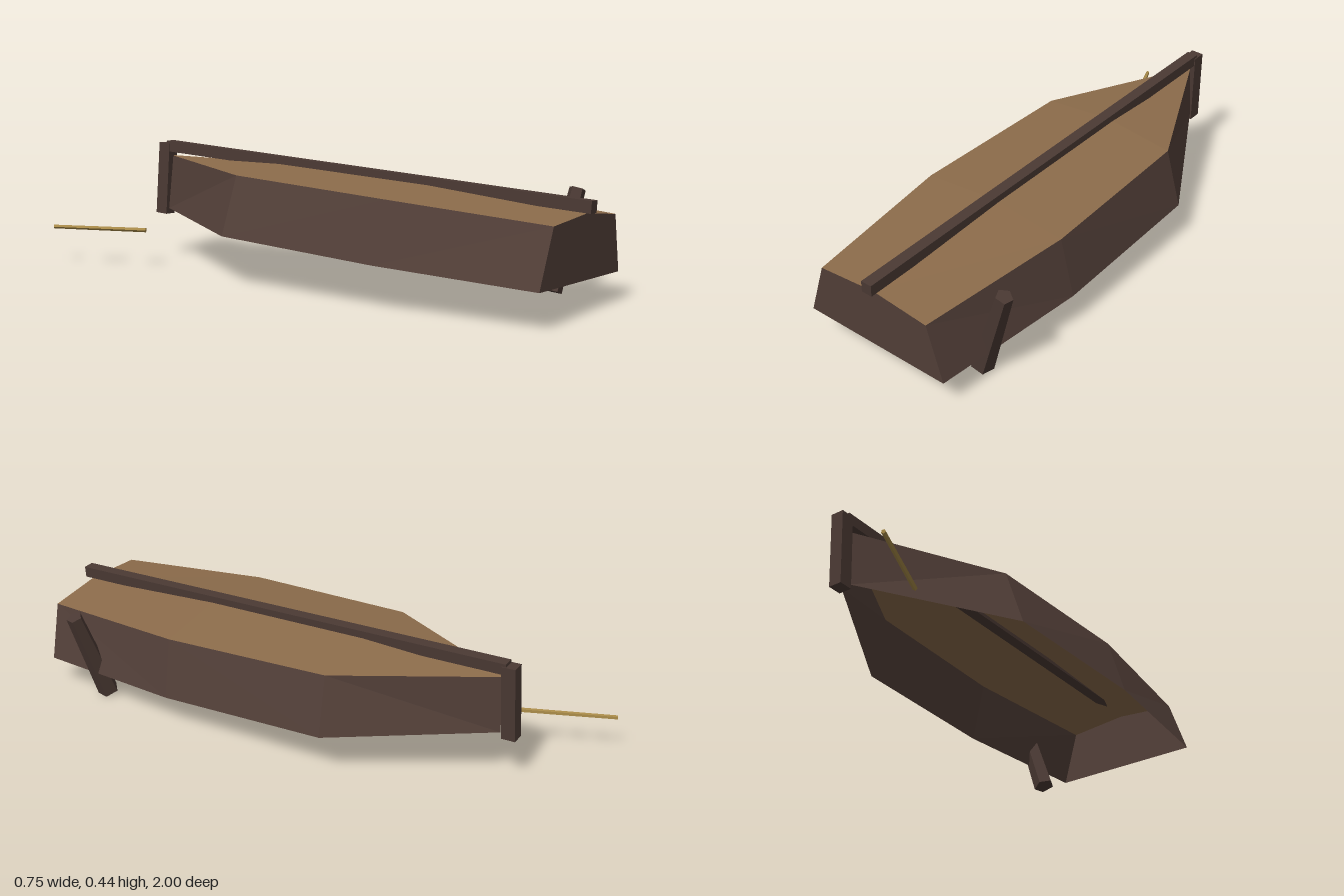
import * as THREE from 'three';

const V = (x, y, z) => new THREE.Vector3(x, y, z);

// Flat-shaded mesh from a list of triangle corners
function facets(name, corners, material) {
  const geometry = new THREE.BufferGeometry().setFromPoints(corners);
  geometry.computeVertexNormals();
  const mesh = new THREE.Mesh(geometry, material);
  mesh.name = name;
  return mesh;
}

// Place a y-aligned geometry so its axis runs from one point to another
function along(name, geometry, from, to, material) {
  const mesh = new THREE.Mesh(geometry, material);
  mesh.name = name;
  mesh.position.copy(from).add(to).multiplyScalar(0.5);
  mesh.quaternion.setFromUnitVectors(V(0, 1, 0), to.clone().sub(from).normalize());
  return mesh;
}

export function createModel() {
  const flat = (name, color) => {
    const m = new THREE.MeshStandardMaterial({ color, flatShading: true });
    m.name = name;
    return m;
  };
  const sideWood = flat('hull side wood', 0x523f38);
  const bottomWood = flat('hull bottom wood', 0x8b6b4a);
  const beamWood = flat('dark beam wood', 0x4a3933);
  const straw = flat('pale stick wood', 0xa88a48);
  sideWood.side = bottomWood.side = THREE.DoubleSide;

  const model = new THREE.Group();
  model.name = 'upturnedBoat';

  // Hull stations, stern to bow: right rim, right chine, crest, left chine, left rim
  const stations = [
    [V(0.265, 0.103, 0.967), V(0.213, 0.302, 0.974), V(0, 0.332, 0.974), V(-0.22, 0.323, 0.974), V(-0.29, 0.131, 0.967)],
    [V(0.32, 0.124, 0.4), V(0.277, 0.332, 0.407), V(0, 0.375, 0.407), V(-0.28, 0.36, 0.407), V(-0.345, 0.156, 0.4)],
    [V(0.306, 0.15, -0.226), V(0.257, 0.358, -0.218), V(0, 0.398, -0.218), V(-0.258, 0.383, -0.218), V(-0.33, 0.18, -0.226)],
    [V(0.008, 0.186, -0.74), V(0.005, 0.386, -0.732), V(0.001, 0.388, -0.732), V(-0.004, 0.387, -0.732), V(-0.024, 0.188, -0.74)],
  ];
  const strip = (j) => {
    const out = [];
    for (let i = 0; i < stations.length - 1; i++) {
      const a = stations[i][j], b = stations[i][j + 1];
      const d = stations[i + 1][j], c = stations[i + 1][j + 1];
      // The diagonal is mirrored on the left half
      if (j < 2) out.push(a, d, b, d, c, b);
      else out.push(a, d, c, a, c, b);
    }
    return out;
  };
  model.add(facets('leftSide', strip(0), sideWood));
  model.add(facets('rightSide', strip(3), sideWood));
  model.add(facets('hullBottom', [...strip(1), ...strip(2)], bottomWood));

  // Flat transom closing the stern
  const t = stations[0];
  model.add(facets('transom', [t[0], t[1], t[2], t[0], t[2], t[4], t[2], t[3], t[4]], sideWood));

  // Keel beam over the crest and the stem post at the bow, both with the hull's lean
  const pitch = 0.039, roll = -0.05;
  const beam = (name, size, position) => {
    const mesh = new THREE.Mesh(new THREE.BoxGeometry(...size), beamWood);
    mesh.name = name;
    mesh.position.copy(position);
    mesh.rotation.set(pitch, 0, roll);
    model.add(mesh);
  };
  beam('keel', [0.04, 0.04, 1.75], V(0, 0.389, 0.125));
  beam('stemPost', [0.046, 0.267, 0.05], V(-0.006, 0.3, -0.764));

  // Tapered five-sided prop leaning against the side
  const propFrom = V(0.225, 0.015, 0.744), propTo = V(0.348, 0.351, 0.772);
  const propShape = new THREE.CylinderGeometry(0.029, 0.039, propFrom.distanceTo(propTo), 5, 1, false, 0.733);
  model.add(along('prop', propShape, propFrom, propTo, beamWood));

  // Loose stick lying beyond the bow
  const stickFrom = V(-0.23, 0.141, -0.67), stickTo = V(-0.37, 0.141, -0.998);
  const stickShape = new THREE.CylinderGeometry(0.0075, 0.0085, stickFrom.distanceTo(stickTo), 5);
  model.add(along('looseStick', stickShape, stickFrom, stickTo, straw));

  return model;
}
